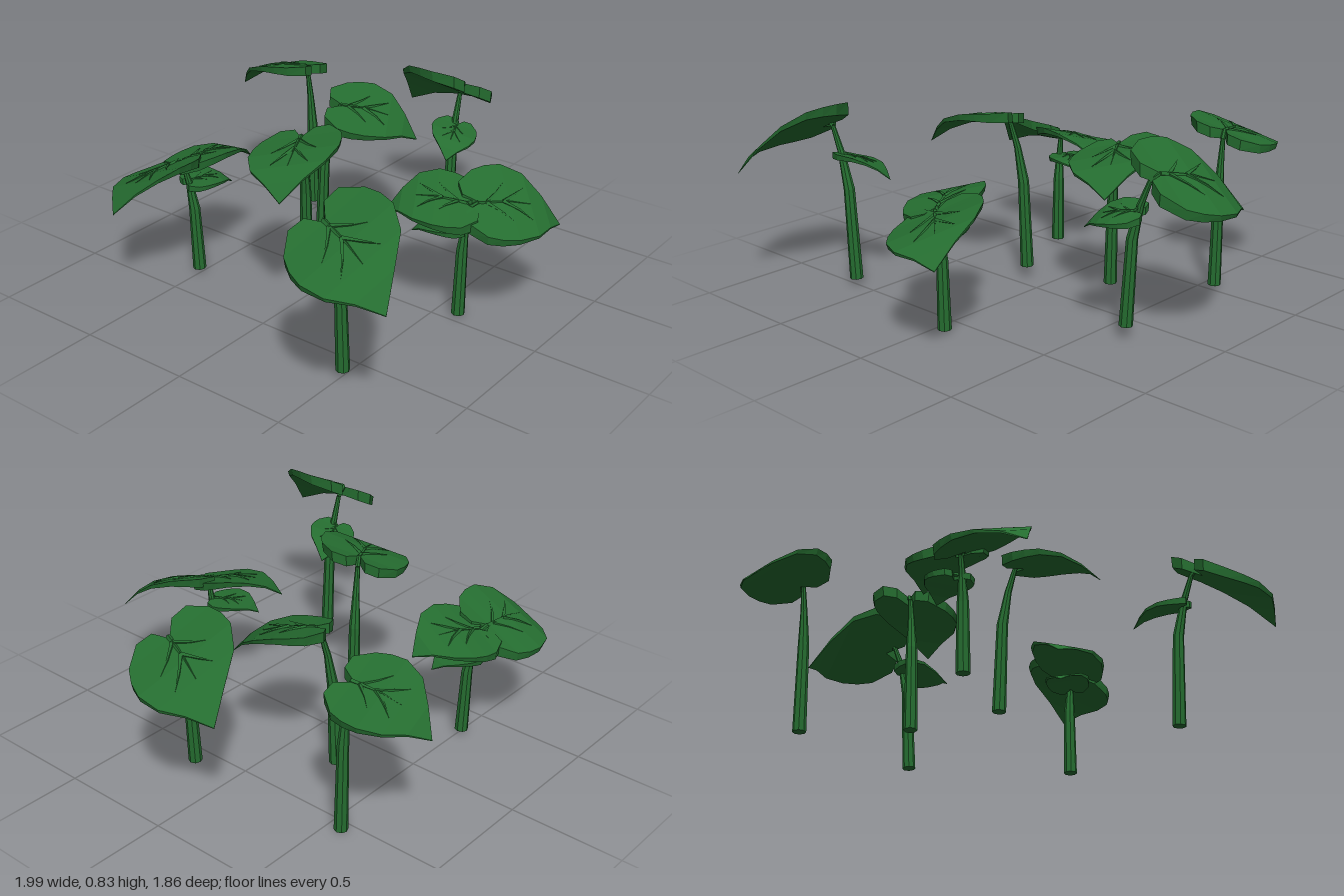
import * as THREE from 'three';

const green = new THREE.MeshStandardMaterial({ color: 0x256d30, side: THREE.DoubleSide, flatShading: true });
green.name = 'leafGreen';

const { degToRad, lerp } = THREE.MathUtils;
const UP = new THREE.Vector3(0, 1, 0);

// Collects quads (a, b, c, d counter-clockwise) into a faceted mesh
function meshFromQuads(name, quads) {
  const points = quads.flatMap(([a, b, c, d]) => [a, b, c, a, c, d]);
  const geo = new THREE.BufferGeometry().setFromPoints(points);
  geo.computeVertexNormals();
  const mesh = new THREE.Mesh(geo, green);
  mesh.name = name;
  return mesh;
}

// Many-sided tapering stalk through the given points
function stalk(name, points, radii, sides = 8) {
  const last = points.length - 1;
  const rings = points.map((p, i) => {
    const dir = points[Math.min(i + 1, last)].clone().sub(points[Math.max(i - 1, 0)]).normalize();
    const turn = new THREE.Quaternion().setFromUnitVectors(UP, dir);
    return Array.from({ length: sides }, (_, k) => {
      const a = (k / sides) * Math.PI * 2;
      return new THREE.Vector3(Math.sin(a), 0, Math.cos(a)).multiplyScalar(radii[i]).applyQuaternion(turn).add(p);
    });
  });
  const quads = [];
  for (let k = 0; k < sides; k++) {
    const n = (k + 1) % sides;
    for (let i = 0; i < last; i++) quads.push([rings[i][k], rings[i][n], rings[i + 1][n], rings[i + 1][k]]);
    quads.push([points[0], rings[0][n], rings[0][k], points[0]]);
    quads.push([points[last], rings[last][k], rings[last][n], points[last]]);
  }
  return meshFromQuads(name, quads);
}

// Half of the heart outline from notch to tip (w: 1 = half width, l: 0 notch, 1 tip)
const OUTLINE = [[0.88, 0.02], [0.98, 0.19], [1, 0.38], [0.82, 0.63], [0.42, 0.82], [0, 1]];

// Side veins: start l, end w, end l
const VEINS = [[0.1, 0.5, 0.36], [0.3, 0.42, 0.6]];

// Heart-shaped leaf that stays level and then droops to its tip; slope is the sideways rise
function leaf(notch, tip, half, slope) {
  const run = tip.clone().sub(notch);
  const length = Math.hypot(run.x, run.z);
  const side = new THREE.Vector3(run.z / length, slope, -run.x / length);
  const at = (w, l, lift = 0) => {
    const p = notch.clone().addScaledVector(run, l).addScaledVector(side, w * half);
    p.y += 0.6 * l * (1 - l) * (0.5 + l) * length + lift;
    return p;
  };
  const under = (w, l) => at(w * 0.96, l, -(0.11 * length * (1 - l) + 0.003));

  const quads = [];
  for (const s of [1, -1]) {
    const add = (...q) => quads.push(s > 0 ? q : q.reverse());
    const row = (iw, il, ow, ol) => ({
      a: at(s * iw, il), d: at(s * ow, ol), a2: under(s * iw, il), d2: under(s * ow, ol),
    });
    const rows = [row(0.22, -0.16, 0.55, -0.17),
      ...OUTLINE.map(([w, l], i) => row(0, i ? l : 0.03, w, l))];
    for (let i = 0; i < rows.length - 1; i++) {
      const p = rows[i], q = rows[i + 1];
      add(p.a, q.a, q.d, p.d);
      add(p.d2, q.d2, q.a2, p.a2);
      add(p.d, q.d, q.d2, p.d2);
    }
    // lobe end and notch edge
    const [p, q] = rows;
    add(p.a, p.d, p.d2, p.a2);
    add(q.a, p.a, p.a2, q.a2);
  }
  const group = new THREE.Group();
  group.name = 'leaf';
  group.add(meshFromQuads('blade', quads));

  // veins: slim tapering ridges
  const ridge = (points) => {
    const radii = points.map((_, i) => 0.025 * length * (1 - i / (points.length - 1)) + 0.0008);
    group.add(stalk('vein', points, radii, 4));
  };
  ridge([0, 0.19, 0.38, 0.63].map((l) => at(0, l, 0.001)));
  for (const [l0, w1, l1] of VEINS) {
    for (const s of [1, -1]) ridge([at(0, l0), at(s * w1 * 0.5, (l0 + l1) / 2 + 0.02), at(s * w1, l1)]);
  }
  return group;
}

// Leaves of each kind of plant; turn is in degrees from the plant's heading,
// out and rise place the notch relative to the crown
const SINGLE = [{ turn: 0, out: 0, rise: 0, length: 0.34, drop: 0.145, half: 0.19, slope: 0.25 }];
const PAIR = [
  { turn: 0, out: 0, rise: 0, length: 0.395, drop: 0.2, half: 0.198, slope: 0.53 },
  { turn: -130, out: 0.095, rise: -0.16, length: 0.21, drop: 0.09, half: 0.1, slope: -0.25 },
];
const TRIO = [
  { turn: 0, out: 0.025, rise: 0, length: 0.347, drop: 0.12, half: 0.187, slope: 0.43 },
  { turn: -163, out: 0.022, rise: 0, length: 0.323, drop: 0.05, half: 0.165, slope: -0.28 },
  { turn: -160, out: 0.05, rise: -0.1, length: 0.19, drop: 0.045, half: 0.1, slope: 0 },
];

// Where each plant stands, where its stem ends, and the heading of its main leaf
const PLANTS = [
  { leaves: PAIR, foot: [-0.61, 0.03, 0.5], crown: [-0.752, 0.74, 0.52], heading: 109 },
  { leaves: PAIR, foot: [0.63, 0.055, 0.16], crown: [0.762, 0.705, 0.135], heading: -70 },
  { leaves: TRIO, foot: [0.05, 0.01, 0.6], crown: [0.055, 0.53, 0.64], heading: 44.4 },
  { leaves: TRIO, foot: [-0.33, 0.02, -0.51], crown: [-0.363, 0.53, -0.57], heading: 184.8 },
  { leaves: SINGLE, foot: [-0.12, 0.055, -0.07], crown: [-0.21, 0.74, -0.02], heading: 156 },
  { leaves: SINGLE, foot: [0.21, 0.01, -0.25], crown: [0.287, 0.67, -0.2], heading: 60 },
  { leaves: SINGLE, foot: [0.545, 0, -0.56], crown: [0.538, 0.69, -0.6], heading: -99.3 },
];

// Stem rings: height share, sideways share, radius; upright first, then leaning to the crown
const STEM = [[0, 0, 0.029], [0.57, 0.15, 0.024], [0.79, 0.4, 0.015], [0.95, 0.7, 0.01]];

function buildPlant({ leaves, foot, crown, heading }) {
  const plant = new THREE.Group();
  plant.name = 'plant';
  const [x0, y0, z0] = foot;
  const [x1, y1, z1] = crown;
  const points = STEM.map(([h, s]) => new THREE.Vector3(lerp(x0, x1, s), lerp(y0, y1, h), lerp(z0, z1, s)));
  plant.add(stalk('stem', points, STEM.map((ring) => ring[2])));

  for (const { turn, out, rise, length, drop, half, slope } of leaves) {
    const angle = degToRad(heading + turn);
    const forward = new THREE.Vector3(Math.cos(angle), 0, Math.sin(angle));
    const notch = new THREE.Vector3(x1, y1 + rise, z1).addScaledVector(forward, out);
    const tip = notch.clone().addScaledVector(forward, length).addScaledVector(UP, -drop);

    // thin leaf stalk from the nearest stem joint into the blade
    const joint = points.reduce((m, p) => (p.distanceTo(notch) < m.distanceTo(notch) ? p : m));
    plant.add(stalk('leafStalk', [joint, notch, notch.clone().lerp(tip, 0.1)], [0.011, 0.009, 0.004], 6));
    plant.add(leaf(notch, tip, half, slope));
  }
  return plant;
}

export function createModel() {
  const model = new THREE.Group();
  model.name = 'seedlings';
  model.add(...PLANTS.map(buildPlant));
  return model;
}
